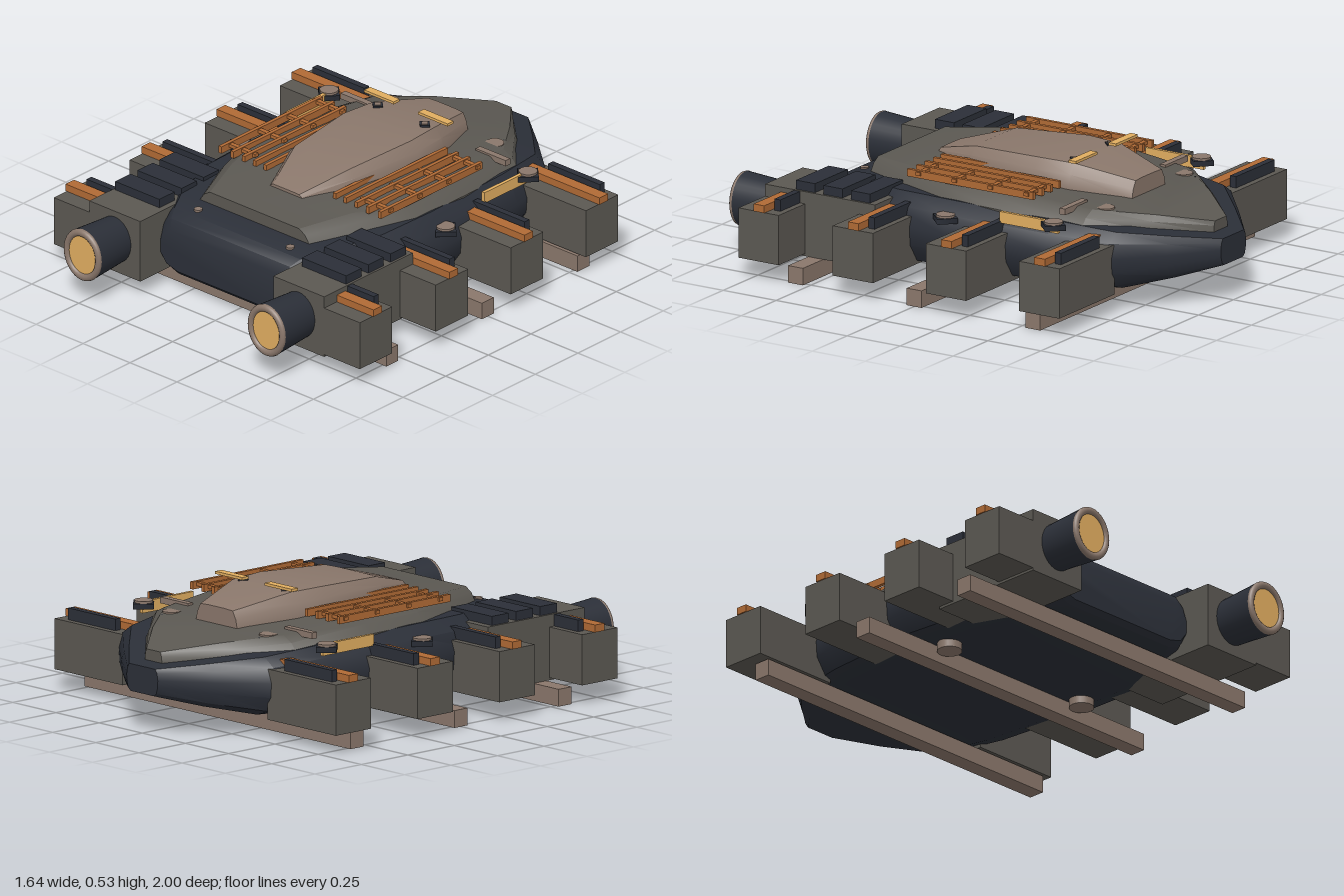
import * as THREE from 'three';
import { toCreasedNormals } from 'three/addons/utils/BufferGeometryUtils.js';

const paint = (color) => new THREE.MeshStandardMaterial({ color });

export function createModel() {
  const root = new THREE.Group();
  const dark = paint(0x2b2f38), grey = paint(0x5b5852), brown = paint(0x8a776b);
  const orange = paint(0xb06a35), yellow = paint(0xe0ad60);

  const add = (name, geo, mat, x = 0, y = 0, z = 0) => {
    const m = new THREE.Mesh(geo, mat);
    m.name = name;
    m.position.set(x, y, z);
    root.add(m);
    return m;
  };
  // Box given by its ranges along each axis
  const box = (name, mat, [x0, x1], [y0, y1], [z0, z1]) =>
    add(name, new THREE.BoxGeometry(Math.abs(x1 - x0), y1 - y0, z1 - z0), mat,
      (x0 + x1) / 2, (y0 + y1) / 2, (z0 + z1) / 2);
  const disc = (name, mat, r, h, sides, x, y, z) =>
    add(name, new THREE.CylinderGeometry(r, r, h, sides), mat, x, y, z);

  // Closed loft: sections [z, halfWidth, bottom, top], profile of [u, v] on the +x side from bottom to top
  function loft(sections, profile, crease) {
    const ring = [...profile, ...profile.map(([u, v]) => [-u, v]).reverse()];
    const n = ring.length, pos = [], idx = [];
    for (const [z, w, b, t] of sections)
      for (const [u, v] of ring) pos.push(u * w, b + v * (t - b), z);
    for (let i = 0; i < sections.length - 1; i++)
      for (let j = 0; j < n; j++) {
        const a = i * n + j, c = i * n + (j + 1) % n;
        idx.push(a, c, c + n, a, c + n, a + n);
      }
    const last = (sections.length - 1) * n;
    for (let j = 1; j < n - 1; j++) idx.push(0, j + 1, j, last, last + j, last + j + 1);
    const g = new THREE.BufferGeometry();
    g.setAttribute('position', new THREE.Float32BufferAttribute(pos, 3));
    g.setIndex(idx);
    return toCreasedNormals(g, crease);
  }

  // Hull, raised deck and canopy
  add('hull', loft([
    [-1, 0.09, 0.16, 0.27], [-0.86, 0.27, 0.12, 0.295], [-0.7, 0.46, 0.085, 0.325],
    [-0.45, 0.52, 0.075, 0.345], [0, 0.56, 0.07, 0.36], [0.28, 0.55, 0.06, 0.36],
    [0.52, 0.46, 0.07, 0.35], [0.62, 0.4, 0.075, 0.335], [0.66, 0.375, 0.08, 0.31],
    [0.68, 0.36, 0.1, 0.27],
  ], [[0.74, 0], [0.9, 0.1], [0.99, 0.35], [1, 0.6], [0.95, 0.85], [0.84, 1]], 0.6), dark);

  add('deck', loft([
    [-0.94, 0.05, 0.26, 0.325], [-0.76, 0.24, 0.28, 0.36], [-0.56, 0.42, 0.3, 0.385],
    [-0.2, 0.465, 0.33, 0.412], [0.08, 0.465, 0.33, 0.42], [0.3, 0.39, 0.33, 0.415],
    [0.52, 0.29, 0.33, 0.4],
  ], [[1, 0], [1, 0.3], [0.93, 0.72], [0.82, 1]], 0.5), grey);

  add('canopy', loft([
    [-0.6, 0.12, 0.36, 0.45], [-0.36, 0.21, 0.39, 0.5], [-0.2, 0.23, 0.4, 0.503],
    [0.12, 0.19, 0.4, 0.488], [0.335, 0.09, 0.4, 0.425],
  ], [[1, 0], [1, 0.15], [0.93, 0.6], [0.78, 0.97], [0.4, 1]], 0.5), brown);

  // Skid beams across the belly
  for (const z of [-0.56, 0, 0.56])
    box('skidBeam', brown, [-0.77, 0.77], [0, 0.07], [z - 0.035, z + 0.035]);

  for (const s of [-1, 1]) {
    const X = (a, b) => [s * a, s * b];

    // Engine block with stepped plates
    box('engineBlock', grey, X(0.355, 0.625), [0.07, 0.335], [0.28, 0.8]);
    for (const z of [0.355, 0.485, 0.615])
      box('enginePlate', dark, X(0.38, 0.615), [0.335, 0.372], [z - 0.045, z + 0.045]);

    // Oval flared nozzle with rim and glowing core
    const nozzle = new THREE.Group();
    nozzle.name = 'nozzle';
    nozzle.position.set(s * 0.49, 0.212, 0);
    nozzle.scale.y = 1.14;
    const shell = new THREE.Mesh(new THREE.CylinderGeometry(0.097, 0.084, 0.22, 32), dark);
    shell.rotation.x = Math.PI / 2;
    shell.position.z = 0.875;
    shell.name = 'nozzleShell';
    const rim = new THREE.Mesh(new THREE.TorusGeometry(0.084, 0.014, 10, 32), brown);
    rim.position.z = 0.986;
    rim.name = 'nozzleRim';
    const core = new THREE.Mesh(new THREE.CircleGeometry(0.071, 32), yellow);
    core.position.z = 0.989;
    core.name = 'nozzleCore';
    nozzle.add(shell, rim, core);
    root.add(nozzle);

    // Side pods, each with two strips on top
    for (const z of [-0.62, -0.18, 0.26, 0.705]) {
      box('sidePod', grey, X(0.42, 0.815), [0.08, 0.285], [z - 0.095, z + 0.095]);
      box('podOrangeStrip', orange, X(0.42, 0.82), [0.285, 0.315], [z - 0.03, z + 0.02]);
      box('podDarkStrip', dark, X(0.49, 0.765), [0.285, 0.332], [z - 0.07, z - 0.042]);
    }

    // Deck grille
    for (const x of [0.185, 0.24, 0.3, 0.36, 0.425])
      box('grilleBar', orange, X(x - 0.008, x + 0.008), [0.41, 0.44], [-0.34, 0.255]);
    for (const z of [-0.31, -0.14, 0.03, 0.2])
      box('grilleCrossBar', orange, X(0.28, 0.44), [0.422, 0.436], [z - 0.01, z + 0.01]);

    // Side rail and round fittings on diamond bases
    box('sideRail', yellow, X(0.515, 0.53), [0.325, 0.372], [-0.52, -0.245]);
    for (const [x, y, z] of [[0.53, 0.355, -0.5], [0.28, 0.365, -0.58], [0.545, 0.305, 0]]) {
      disc('fittingBase', dark, 0.058, 0.022, 4, s * x, y, z);
      disc('fittingCap', brown, 0.038, 0.032, 12, s * x, y + 0.004, z);
    }

    // Canopy bars and small studs
    box('canopyBar', yellow, X(0.065, 0.222), [0.515, 0.526], [-0.402, -0.367]);
    disc('canopyStud', dark, 0.028, 0.02, 4, s * 0.125, 0.496, -0.34);
    disc('canopyStudCap', brown, 0.018, 0.024, 4, s * 0.125, 0.497, -0.34);
    box('deckStrip', brown, X(0.28, 0.44), [0.375, 0.4], [-0.495, -0.468]);
    disc('hullStud', brown, 0.017, 0.02, 16, s * 0.245, 0.338, 0.58);

    // Belly pads
    disc('bellyPad', brown, 0.05, 0.04, 20, s * 0.37, 0.055, 0.085);
  }
  return root;
}
